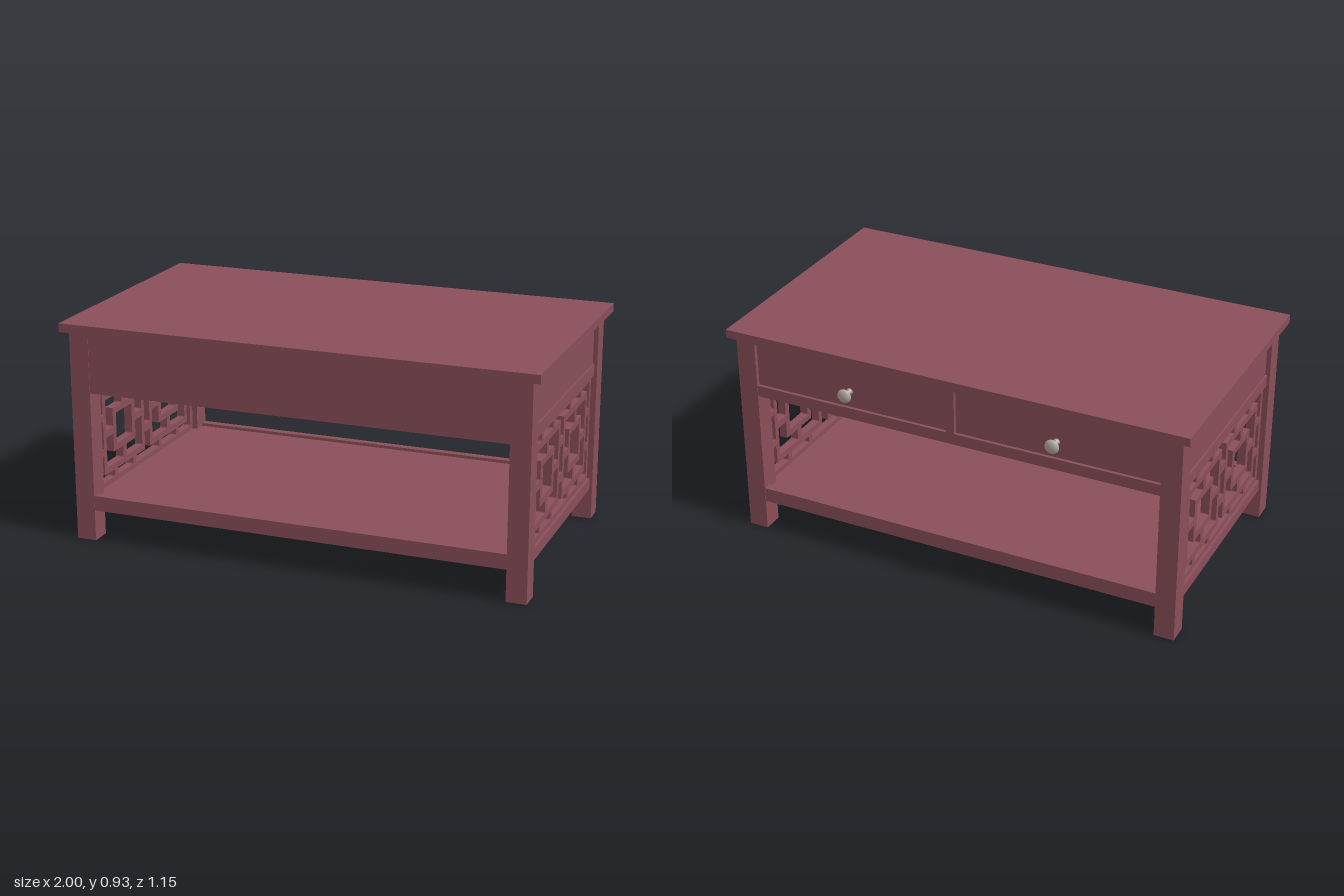
import * as THREE from 'three';

const wood = new THREE.MeshStandardMaterial({ color: 0x8a4f59 });
wood.name = 'red wood';
const metal = new THREE.MeshStandardMaterial({ color: 0xb5aaa0 });
metal.name = 'knob metal';

const ZC = 0.012; // middle of the body in z
const FRONT = 0.55, BACK = -0.526;

// Box given by its limits on each axis
function slab(parent, name, x0, x1, y0, y1, z0, z1) {
  const mesh = new THREE.Mesh(new THREE.BoxGeometry(x1 - x0, y1 - y0, z1 - z0), wood);
  mesh.position.set((x0 + x1) / 2, (y0 + y1) / 2, (z0 + z1) / 2);
  mesh.name = name;
  parent.add(mesh);
  return mesh;
}

// Counter-clockwise outline with its outward corners rounded, mirrored by su and sv
function roundedPath(points, su, sv, r = 2) {
  const path = new THREE.Path();
  const n = points.length, unit = 1 / 325;
  points.forEach((p, i) => {
    const a = new THREE.Vector2(...points[(i + n - 1) % n]);
    const c = new THREE.Vector2(...points[(i + 1) % n]);
    const b = new THREE.Vector2(...p);
    const before = a.clone().sub(b).normalize(), after = c.clone().sub(b).normalize();
    const radius = after.cross(before) > 0 ? r : 0;
    const flip = new THREE.Vector2(su * unit, sv * unit);
    const start = b.clone().addScaledVector(before, radius).multiply(flip);
    const end = b.clone().addScaledVector(after, radius).multiply(flip);
    b.multiply(flip);
    if (i === 0) path.moveTo(start.x, start.y);
    else path.lineTo(start.x, start.y);
    if (radius) path.quadraticCurveTo(b.x, b.y, end.x, end.y);
  });
  path.closePath();
  return path;
}

const rect = (u0, u1, v0, v1) => [[u0, v0], [u1, v0], [u1, v1], [u0, v1]];

// Pierced lattice panel: each opening is listed once and mirrored
function latticeGeometry(depth) {
  const w = 147 / 325, h = 0.2285;
  const panel = new THREE.Shape([[-w, -h], [w, -h], [w, h], [-w, h]].map((p) => new THREE.Vector2(...p)));
  const both = [1, -1], once = [1];
  const openings = [
    [rect(-8, 8, -20, 20), once, once],
    [rect(45, 91, -22, 22), both, once],
    [rect(128, 139, -20, 20), both, once],
    [rect(45, 91, 57, 67), both, both],
    [[[-8, 31], [8, 31], [8, 57], [36, 57], [36, 67], [-36, 67], [-36, 57], [-8, 57]], once, both],
    [[[128, 29], [139, 29], [139, 67], [100, 67], [100, 57], [128, 57]], both, both],
    [[[16, 5], [36, 5], [36, 31], [63, 31], [63, 48], [16, 48]], both, both],
    [[[100, 5], [120, 5], [120, 48], [73, 48], [73, 31], [100, 31]], both, both],
  ];
  for (const [points, us, vs] of openings)
    for (const su of us) for (const sv of vs) panel.holes.push(roundedPath(points, su, sv));
  const geometry = new THREE.ExtrudeGeometry(panel, { depth, bevelEnabled: false, curveSegments: 3 });
  geometry.translate(0, 0, -depth / 2);
  geometry.rotateY(Math.PI / 2);
  return geometry;
}

export function createModel() {
  const table = new THREE.Group();
  table.name = 'coffeeTable';

  slab(table, 'tableTop', -1, 1, 0.89, 0.926, -0.548, 0.573);

  // Legs and side assemblies
  const lattice = latticeGeometry(0.036);
  for (const s of [1, -1]) {
    const side = new THREE.Group();
    side.name = s > 0 ? 'leftSide' : 'rightSide';
    const part = (name, xIn, xOut, y0, y1, z0, z1) =>
      slab(side, name, Math.min(s * xIn, s * xOut), Math.max(s * xIn, s * xOut), y0, y1, z0, z1);
    part('frontLeg', 0.883, 0.967, 0, 0.89, 0.464, FRONT);
    part('backLeg', 0.883, 0.967, 0, 0.89, BACK, -0.44);
    part('upperSidePanel', 0.9, 0.948, 0.687, 0.89, -0.44, 0.464);
    part('upperSideRail', 0.89, 0.955, 0.637, 0.687, -0.44, 0.464);
    part('lowerSideRail', 0.89, 0.955, 0.132, 0.18, -0.44, 0.464);
    const panel = new THREE.Mesh(lattice, wood);
    panel.name = 'latticePanel';
    panel.position.set(s * 0.925, 0.4085, ZC);
    side.add(panel);
    table.add(side);
  }

  // Front apron and the case underside
  slab(table, 'frontApron', -0.883, 0.883, 0.637, 0.89, 0.515, FRONT - 0.002);
  slab(table, 'caseBottom', -0.9, 0.9, 0.645, 0.66, -0.5, 0.52);

  // Drawer frame at the back
  slab(table, 'drawerTopRail', -0.883, 0.883, 0.872, 0.89, BACK + 0.002, -0.48);
  slab(table, 'drawerBottomRail', -0.883, 0.883, 0.637, 0.685, BACK + 0.002, -0.48);
  slab(table, 'drawerDivider', -0.018, 0.018, 0.685, 0.872, BACK + 0.002, -0.48);

  // Drawers with turned knobs
  const knobProfile = [
    [0, 0], [0.014, 0], [0.012, 0.004], [0.008, 0.009], [0.007, 0.025], [0.01, 0.03],
    [0.021, 0.034], [0.028, 0.039], [0.03, 0.044], [0.028, 0.049], [0.021, 0.054], [0.011, 0.057], [0, 0.058],
  ].map((p) => new THREE.Vector2(...p));
  const knobGeometry = new THREE.LatheGeometry(knobProfile, 28);
  knobGeometry.rotateX(-Math.PI / 2);
  for (const s of [1, -1]) {
    const drawer = new THREE.Group();
    drawer.name = s > 0 ? 'leftDrawer' : 'rightDrawer';
    const x = s * 0.4505;
    slab(drawer, 'drawerFront', x - 0.429, x + 0.429, 0.688, 0.869, -0.515, -0.49);
    const knob = new THREE.Mesh(knobGeometry, metal);
    knob.name = 'knob';
    knob.position.set(s * 0.452, 0.758, -0.515);
    drawer.add(knob);
    table.add(drawer);
  }

  // Shelf with its edge rails and the runners below
  slab(table, 'shelf', -0.9, 0.9, 0.145, 0.182, -0.5, 0.52);
  slab(table, 'shelfFrontRail', -0.883, 0.883, 0.132, 0.195, 0.515, FRONT - 0.002);
  slab(table, 'shelfBackRail', -0.883, 0.883, 0.132, 0.195, BACK + 0.002, -0.49);
  for (const s of [1, -1])
    slab(table, 'shelfRunner', s * 0.453 - 0.015, s * 0.453 + 0.015, 0.111, 0.147, -0.445, 0.468);

  return table;
}
